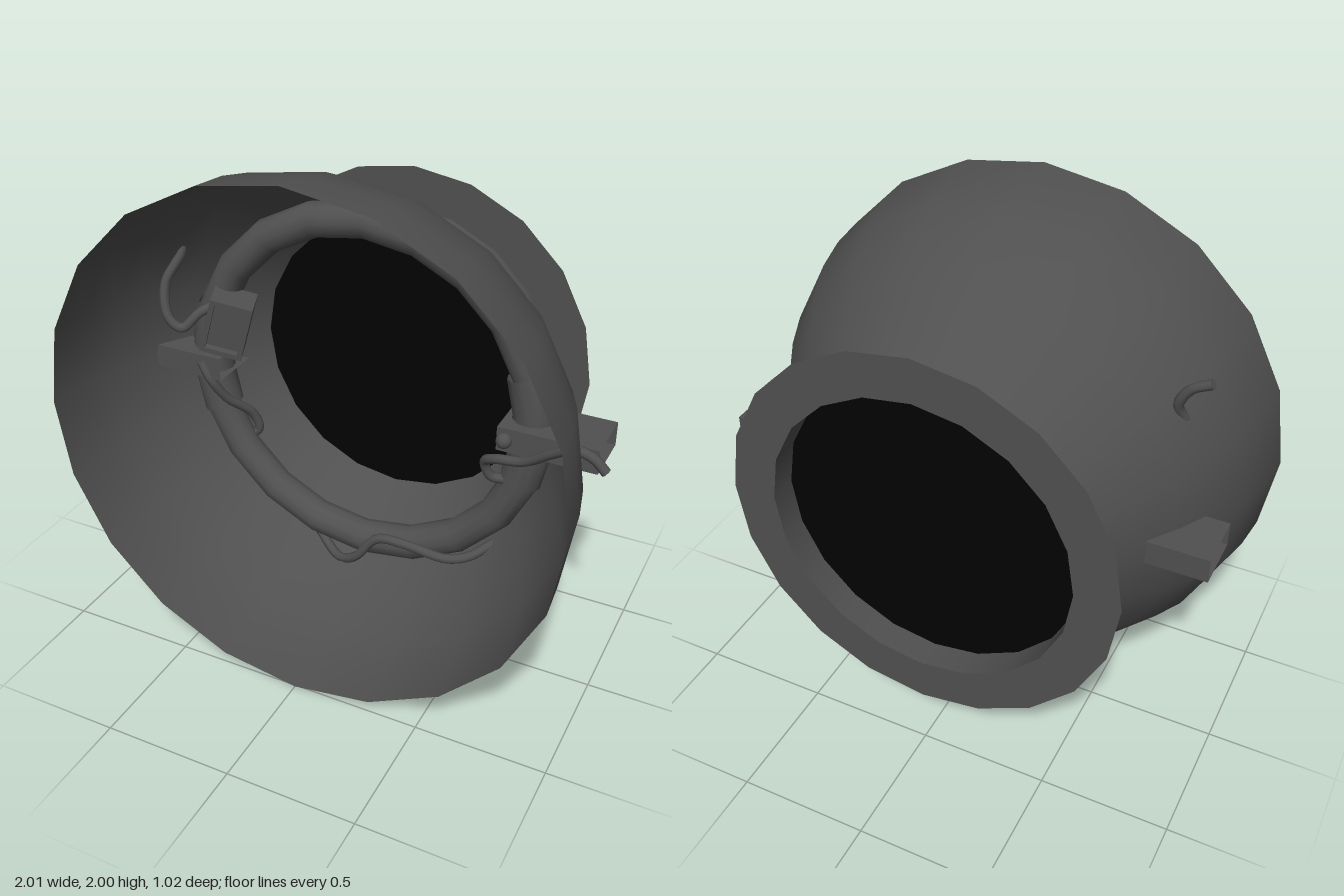
import * as THREE from 'three';

const CENTRE = 1; // height of the shell axis
const V = (x, y, z) => new THREE.Vector3(x, y, z);

export function createModel() {
  const model = new THREE.Group();
  const material = (color, flatShading = false) =>
    new THREE.MeshStandardMaterial({ color, flatShading, side: THREE.DoubleSide });
  const grey = material(0x505050);
  const greyFlat = material(0x505050, true);
  const black = material(0x020202);

  const add = (name, geometry, mat, x = 0, y = CENTRE, z = 0, parent = model) => {
    const mesh = new THREE.Mesh(geometry, mat);
    mesh.name = name;
    mesh.position.set(x, y, z);
    parent.add(mesh);
    return mesh;
  };

  // Surface of revolution about the z axis, from [radius, z] pairs
  const spin = (profile) => new THREE.LatheGeometry(
    profile.map(([r, z]) => new THREE.Vector2(r, z)), 20).rotateX(Math.PI / 2);

  // Bowl shell, open to the front, and its rear neck
  add('bowlShell', spin([[0.585, -0.395], [0.7, -0.235], [0.81, -0.08], [0.885, 0.05],
    [0.95, 0.2], [0.985, 0.35], [1, 0.507]]), grey);
  add('neck', spin([[0.585, -0.51], [0.585, -0.395]]), grey);
  add('neckBead', new THREE.TorusGeometry(0.617, 0.013, 6, 20), grey, 0, CENTRE, -0.43);

  // Flat rear flange and the dark disc closing the neck
  add('rearFlange', new THREE.RingGeometry(0.585, 0.755, 20), grey, 0, CENTRE, -0.51);
  add('darkDisc', new THREE.CircleGeometry(0.585, 20), black, 0, CENTRE, -0.398);

  // Padded ring inside the bowl
  const ringZ = -0.1;
  add('innerRing', new THREE.TorusGeometry(0.682, 0.068, 12, 20), grey, 0, CENTRE, ringZ);

  // Sleeve and hollow, open-ended bracket on each side of the ring
  for (const side of [1, -1]) {
    const label = side > 0 ? 'left' : 'right';
    const arc = 0.66;
    const sleeve = new THREE.TorusGeometry(0.675, 0.08, 12, 3, arc);
    sleeve.rotateZ(-arc / 2 + (side > 0 ? 0 : Math.PI));
    add(label + 'Sleeve', sleeve, grey, 0, CENTRE, ringZ);
    const bracket = new THREE.CylinderGeometry(Math.SQRT1_2, Math.SQRT1_2, 1, 4, 1, true);
    bracket.rotateY(Math.PI / 4).rotateZ(Math.PI / 2).scale(0.375, 0.095, 0.22);
    add(label + 'Bracket', bracket, greyFlat, side * 0.7625, CENTRE, -0.09);
  }
  add('knob', new THREE.SphereGeometry(0.03, 12, 8), grey, 0.605, CENTRE, 0.025);

  // Small tilted box with a recessed face, turned towards the axis
  const box = new THREE.Group();
  box.name = 'controlBox';
  box.position.set(-0.575, 1.2, -0.085);
  box.rotation.set(0, 0.38, -0.28, 'ZYX');
  model.add(box);
  const w = 0.165, h = 0.235, rim = 0.02;
  const frame = new THREE.Shape([[-w, -h], [w, -h], [w, h], [-w, h]]
    .map(([x, y]) => new THREE.Vector2(x / 2, y / 2)));
  frame.holes.push(new THREE.Path([[-1, -1], [-1, 1], [1, 1], [1, -1]]
    .map(([x, y]) => new THREE.Vector2(x * (w / 2 - rim), y * (h / 2 - rim)))));
  add('boxFrame', new THREE.ExtrudeGeometry(frame, { depth: 0.13, bevelEnabled: false }),
    greyFlat, 0, 0, 0, box);
  add('boxFace', new THREE.BoxGeometry(w - rim, h - rim, 0.1), greyFlat, 0, 0, 0.052, box);

  // Loose cables, some passing through the shell
  const cables = {
    upperCable: [V(-0.83, 1.6, 0), V(-0.76, 1.56, 0), V(-0.72, 1.48, 0.01), V(-0.765, 1.35, 0.07),
      V(-0.74, 1.23, 0.1), V(-0.69, 1.19, 0.09), V(-0.63, 1.25, 0.05), V(-0.58, 1.28, 0)],
    leftCable: [V(0.995, 1.01, 0.085), V(0.945, 1.055, 0.085), V(0.88, 1.07, 0.085), V(0.8, 1.02, 0.06),
      V(0.68, 0.93, 0.02), V(0.57, 0.9, 0), V(0.52, 0.86, -0.03), V(0.54, 0.79, -0.05), V(0.62, 0.78, -0.08)],
    rightCable: [V(-0.66, 1.02, 0.02), V(-0.62, 0.95, 0.02), V(-0.58, 0.85, -0.03),
      V(-0.52, 0.75, -0.12), V(-0.505, 0.67, -0.14), V(-0.56, 0.63, -0.12)],
    lowerCable: [V(-0.55, 0.48, -0.21), V(-0.42, 0.37, -0.21), V(-0.33, 0.31, -0.19),
      V(-0.22, 0.27, -0.12), V(-0.09, 0.225, -0.04), V(0, 0.27, -0.01), V(0.1, 0.39, -0.01),
      V(0.22, 0.4, -0.01), V(0.38, 0.365, -0.04), V(0.46, 0.38, -0.07), V(0.52, 0.42, -0.11),
      V(0.59, 0.47, -0.165), V(0.65, 0.58, -0.185), V(0.67, 0.7, -0.19)],
  };
  for (const [name, points] of Object.entries(cables)) {
    const path = new THREE.CatmullRomCurve3(points);
    add(name, new THREE.TubeGeometry(path, 56, 0.019, 8), grey, 0, 0, 0);
    // Closed cable ends
    for (const end of [0, 1]) {
      const cap = add(name + 'End', new THREE.CircleGeometry(0.019, 8), grey, 0, 0, 0);
      cap.position.copy(path.getPointAt(end));
      cap.quaternion.setFromUnitVectors(V(0, 0, 1), path.getTangentAt(end));
    }
  }
  return model;
}
